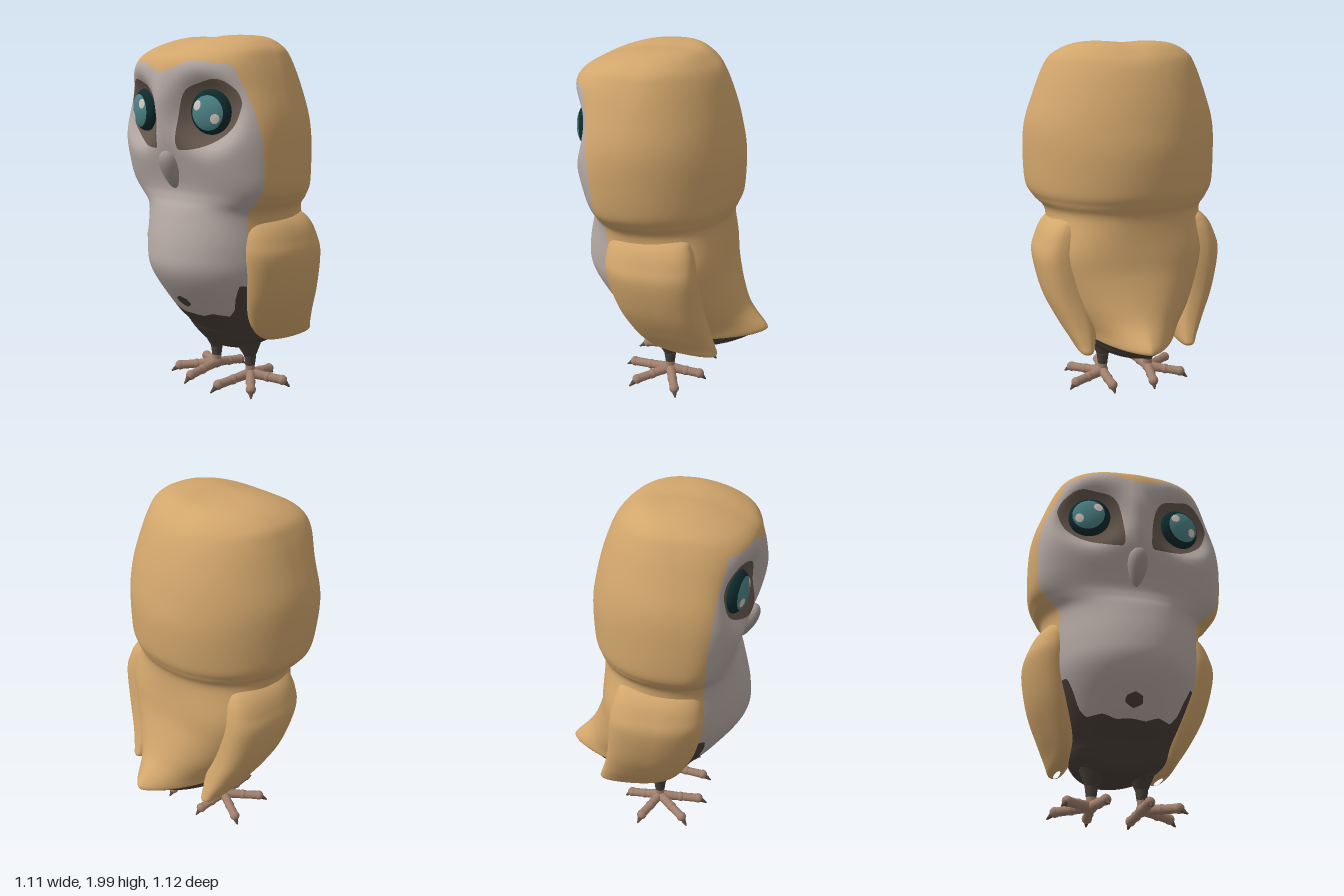
import * as THREE from 'three';

const flat = (color) => new THREE.MeshStandardMaterial({ color });
const M = {
  tanFeather: flat(0xd2a66c), paleFeather: flat(0xb6aaa5), darkFeather: flat(0x4a4039),
  socketBrown: flat(0x65574d), beakGrey: flat(0xa0968f), legBrown: flat(0xa07f6c), clawBrown: flat(0x5c4b42),
  eyeRim: flat(0x0e2b2d), iris: flat(0x4c8286), glint: flat(0xd6c8c0),
};
for (const [k, m] of Object.entries(M)) m.name = k;

const V = (x, y, z) => new THREE.Vector3(x, y, z);
const bell = (t, w) => Math.exp(-((t / w) ** 2));
const { smoothstep, lerp, clamp } = THREE.MathUtils;

function add(parent, name, geo, mat) {
  const m = new THREE.Mesh(geo, mat);
  m.name = name;
  parent.add(m);
  return m;
}

// Piecewise linear lookup in [[x, value], ...]
function lookup(table, x) {
  if (x <= table[0][0]) return table[0][1];
  for (let i = 1; i < table.length; i++) {
    const [x0, v0] = table[i - 1], [x1, v1] = table[i];
    if (x <= x1) return v0 + ((v1 - v0) * (x - x0)) / (x1 - x0);
  }
  return table[table.length - 1][1];
}

// Smooth loft through rows [y, xMin, xMax, zMid, zFront, zBack], top to bottom.
// The powers set how square (above 2) or pointed (below 2) each half section is.
function loft(rows, steps, seg, frontPower, backPower, deform = () => {}) {
  const pos = [], index = [], n = (rows.length - 1) * steps;
  const cr = (a, b, c, d, t) =>
    b + 0.5 * t * (c - a + t * (2 * a - 5 * b + 4 * c - d + t * (3 * (b - c) + d - a)));
  for (let i = 0; i <= n; i++) {
    const k = Math.min(Math.floor(i / steps), rows.length - 2), t = i / steps - k;
    const at = (j) => rows[clamp(j, 0, rows.length - 1)];
    const [y, x0, x1, zc, zf, zb] = rows[k].map((_, c) =>
      cr(at(k - 1)[c], at(k)[c], at(k + 1)[c], at(k + 2)[c], t));
    for (let j = 0; j < seg; j++) {
      const a = (j / seg) * Math.PI * 2, c = Math.cos(a), s = Math.sin(a);
      const e = 2 / (s >= 0 ? frontPower(y) : backPower(y));
      const p = V((x0 + x1) / 2 + ((x1 - x0) / 2) * Math.sign(c) * Math.abs(c) ** e, y,
        zc + (s >= 0 ? zf - zc : zb - zc) * Math.abs(s) ** e);
      deform(p);
      pos.push(p.x, p.y, p.z);
      if (i < n) {
        const q = i * seg + j, r = i * seg + ((j + 1) % seg);
        index.push(q, r, q + seg, r, r + seg, q + seg);
      }
    }
  }
  const g = new THREE.BufferGeometry();
  g.setAttribute('position', new THREE.Float32BufferAttribute(pos, 3));
  g.setIndex(index);
  g.computeVertexNormals();
  return g;
}

// Cut a smooth surface along field = 0, so each colour region gets a clean edge
function toTriangles(geo) {
  const g = geo.toNonIndexed(), p = g.attributes.position.array, n = g.attributes.normal.array, out = [];
  for (let i = 0; i < p.length; i += 9)
    out.push([0, 3, 6].map((k) => [...p.slice(i + k, i + k + 3), ...n.slice(i + k, i + k + 3)]));
  return out;
}
function cut(tris, field) {
  const inside = [], outside = [];
  for (const t of tris) {
    const f = t.map((v) => field(v[0], v[1], v[2])), a = [], b = [];
    t.forEach((v, i) => {
      const j = (i + 1) % 3;
      (f[i] >= 0 ? a : b).push(v);
      if (f[i] >= 0 !== f[j] >= 0) {
        const u = f[i] / (f[i] - f[j]), m = v.map((c, k) => c + (t[j][k] - c) * u);
        a.push(m);
        b.push(m);
      }
    });
    for (const [poly, list] of [[a, inside], [b, outside]])
      for (let k = 2; k < poly.length; k++) list.push([poly[0], poly[k - 1], poly[k]]);
  }
  return [inside, outside];
}
function toGeometry(tris) {
  const g = new THREE.BufferGeometry(), vs = tris.flat();
  g.setAttribute('position', new THREE.Float32BufferAttribute(vs.flatMap((v) => v.slice(0, 3)), 3));
  g.setAttribute('normal', new THREE.Float32BufferAttribute(vs.flatMap((v) => v.slice(3)), 3));
  return g;
}

// Head, torso and tail: [y, halfWidth, zMid, zFront, zBack]
const bodyRows = [
  [2, 0, 0.05, 0.05, 0.05], [1.987, 0.25, 0.06, 0.22, -0.11], [1.93, 0.38, 0.09, 0.4, -0.2],
  [1.85, 0.435, 0.11, 0.51, -0.26], [1.7, 0.495, 0.13, 0.53, -0.32], [1.55, 0.543, 0.15, 0.52, -0.36],
  [1.4, 0.557, 0.17, 0.5, -0.385], [1.2, 0.55, 0.17, 0.44, -0.38], [1.12, 0.51, 0.15, 0.44, -0.355],
  [1.04, 0.45, 0.1, 0.47, -0.325], [0.85, 0.46, 0.01, 0.512, -0.335], [0.7, 0.44, 0, 0.5, -0.36],
  [0.5, 0.37, 0, 0.36, -0.44], [0.37, 0.3, 0, 0.24, -0.56], [0.33, 0.28, 0, 0.21, -0.5],
  [0.28, 0.24, 0, 0.17, -0.41], [0.235, 0.17, 0, 0.13, -0.27], [0.205, 0.08, 0, 0.06, -0.08], [0.2, 0, 0, 0, 0],
].map(([y, w, ...depths]) => [y, -w, w, ...depths]);
const facePower = (y) => 2 + 0.6 * smoothstep(y, 1.05, 1.25) + 0.1 * bell(y - 1.85, 0.1);
const backPower = (y) => 2 - 0.55 * bell(y - 0.38, 0.12) + 0.6 * bell(y - 0.85, 0.2);

// Nose ridge, hollow eye sockets and a slight dip in the crown
function shapeHead(p) {
  const front = smoothstep(p.z, 0.2, 0.34), r = Math.hypot(Math.abs(p.x) - 0.265, p.y - 1.58);
  p.z += front * (0.035 * bell(p.x, 0.06) * bell(p.y - 1.62, 0.2) - 0.09 * Math.exp(-((r / 0.175) ** 4)));
  p.y -= 0.012 * bell(p.x, 0.1) * smoothstep(p.y, 1.85, 1.97);
}

// Colour regions
const faceEdge = [[0.5, 0.2], [0.65, 0.25], [0.8, 0.28], [1.05, 0.285], [1.4, 0.315], [1.65, 0.345], [1.8, 0.38]];
const browEdge = [[0, 1.795], [0.06, 1.805], [0.17, 1.85], [0.25, 1.85], [0.33, 1.83]];
const bellyEdge = [[0, 0.455], [0.08, 0.45], [0.15, 0.475], [0.23, 0.465], [0.27, 0.51], [0.3, 0.58], [0.34, 0.66]];
const socketLine = new THREE.SplineCurve([
  [0.44, 1.63], [0.41, 1.7], [0.33, 1.757], [0.23, 1.74], [0.14, 1.7], [0.095, 1.6], [0.075, 1.41], [0.1, 1.39],
  [0.2, 1.4], [0.31, 1.445], [0.4, 1.52], [0.44, 1.63],
].map(([x, y]) => new THREE.Vector2(x, y))).getPoints(44);

const paleField = (x, y, z) => Math.min(z - lookup(faceEdge, y), lookup(browEdge, Math.abs(x)) - y);
function darkField(x, y, z) {
  const top = lerp(0.35, lookup(bellyEdge, Math.abs(x)), smoothstep(z, 0, 0.1));
  const spot = z > 0 ? 0.036 - Math.max(Math.abs(x) * 0.75, Math.abs(y - 0.535) + Math.abs(x) * 0.4) : -1;
  return Math.max(top - y, spot);
}
function socketField(x, y) {
  const ax = Math.abs(x);
  let d = 1, inside = false;
  for (let i = 1; i < socketLine.length; i++) {
    const a = socketLine[i - 1], b = socketLine[i], ex = b.x - a.x, ey = b.y - a.y;
    const t = clamp(((ax - a.x) * ex + (y - a.y) * ey) / (ex * ex + ey * ey), 0, 1);
    d = Math.min(d, Math.hypot(ax - a.x - t * ex, y - a.y - t * ey));
    if (a.y > y !== b.y > y && ax < a.x + (ex * (y - a.y)) / ey) inside = !inside;
  }
  return inside ? d : -d;
}

// Folded wing of the left side
const wingRows = [
  [1.05, 0.35, 0.36, 0.05, 0.06, 0.04], [1.03, 0.28, 0.42, 0.05, 0.22, -0.15], [0.98, 0.26, 0.48, 0.05, 0.265, -0.2],
  [0.9, 0.26, 0.52, 0.05, 0.285, -0.225], [0.8, 0.25, 0.542, 0.04, 0.285, -0.24], [0.6, 0.22, 0.5, 0, 0.24, -0.26],
  [0.45, 0.21, 0.43, -0.05, 0.18, -0.29], [0.35, 0.23, 0.37, -0.12, 0.11, -0.32], [0.3, 0.25, 0.34, -0.17, 0.02, -0.33],
  [0.28, 0.28, 0.31, -0.2, -0.12, -0.27],
];

function rod(parent, name, a, b, ra, rb, mat) {
  const m = add(parent, name, new THREE.CylinderGeometry(rb, ra, a.distanceTo(b), 12), mat);
  m.position.copy(a).lerp(b, 0.5);
  m.quaternion.setFromUnitVectors(V(0, 1, 0), b.clone().sub(a).normalize());
}
function ball(parent, name, p, r, mat) {
  add(parent, name, new THREE.SphereGeometry(r, 14, 10), mat).position.copy(p);
}

function makeEye(s) {
  const eye = new THREE.Group();
  eye.name = s > 0 ? 'leftEye' : 'rightEye';
  const cap = (name, r, angle, dx, dy, mat) => {
    const m = add(eye, name, new THREE.SphereGeometry(r, 28, 12, 0, Math.PI * 2, 0, angle), mat);
    m.quaternion.setFromUnitVectors(V(0, 1, 0), V(dx, dy, Math.sqrt(1 - dx * dx - dy * dy)));
  };
  add(eye, 'eyeball', new THREE.SphereGeometry(0.118, 32, 20), M.eyeRim);
  cap('iris', 0.121, 0.85, s * 0.02, -0.06, M.iris);
  cap('upperGlint', 0.124, 0.22, -s * 0.44, 0.28, M.glint);
  cap('lowerGlint', 0.124, 0.22, s * 0.42, -0.28, M.glint);
  eye.position.set(s * 0.262, 1.59, 0.42);
  eye.rotation.y = s * 0.27;
  eye.scale.z = 0.5;
  return eye;
}

function makeLeg(s) {
  const leg = new THREE.Group();
  leg.name = s > 0 ? 'leftLeg' : 'rightLeg';
  const ankle = V(s * 0.142, 0.06, 0), shin = V(s * 0.14, 0.17, 0), hem = V(s * 0.14, 0.11, 0);
  rod(leg, 'thigh', V(s * 0.135, 0.27, 0.01), shin, 0.085, 0.037, M.darkFeather);
  rod(leg, 'shin', shin, hem, 0.037, 0.029, M.darkFeather);
  rod(leg, 'shank', hem, ankle, 0.028, 0.028, M.legBrown);
  ball(leg, 'ankle', ankle, 0.036, M.legBrown);
  // Two toes forward, two back, each with a hooked claw
  for (const [x, z] of [[0.11, 0.285], [0.33, 0.19], [0.355, -0.1], [0.12, -0.215]]) {
    const at = (t, y) => V(s * (0.142 + (x - 0.142) * t), y, z * t);
    const mid = at(0.45, 0.048), end = at(0.83, 0.04);
    rod(leg, 'toe', ankle, mid, 0.03, 0.025, M.legBrown);
    ball(leg, 'toeJoint', mid, 0.029, M.legBrown);
    rod(leg, 'toe', mid, end, 0.025, 0.026, M.legBrown);
    ball(leg, 'toeTip', end, 0.029, M.legBrown);
    rod(leg, 'claw', end, at(1.02, 0.004), 0.022, 0.004, M.clawBrown);
  }
  return leg;
}

export function createModel() {
  const owl = new THREE.Group();
  owl.name = 'owl';
  const [dark, upper] = cut(toTriangles(loft(bodyRows, 7, 128, facePower, backPower, shapeHead)), darkField);
  const [pale, tan] = cut(upper, paleField);
  const [socket, face] = cut(pale, socketField);
  add(owl, 'backAndCrown', toGeometry(tan), M.tanFeather);
  add(owl, 'faceAndBreast', toGeometry(face), M.paleFeather);
  add(owl, 'eyeSockets', toGeometry(socket), M.socketBrown);
  add(owl, 'underside', toGeometry(dark), M.darkFeather);

  // Beak: an egg, fuller at the top and swept back towards its tip
  const beak = new THREE.SphereGeometry(1, 24, 18), p = beak.attributes.position;
  for (let i = 0; i < p.count; i++) {
    const y = p.getY(i), k = 1 + 0.3 * y;
    p.setXYZ(i, p.getX(i) * 0.054 * k, 1.277 + y * 0.103, 0.472 + 0.03 * y + p.getZ(i) * 0.054 * k);
  }
  beak.computeVertexNormals();
  add(owl, 'beak', beak, M.beakGrey);

  for (const s of [1, -1]) {
    const rows = s > 0 ? wingRows : wingRows.map(([y, a, b, ...depths]) => [y, -b, -a, ...depths]);
    add(owl, s > 0 ? 'leftWing' : 'rightWing', loft(rows, 5, 56, () => 2, () => 2.6), M.tanFeather);
    owl.add(makeEye(s), makeLeg(s));
  }
  return owl;
}
